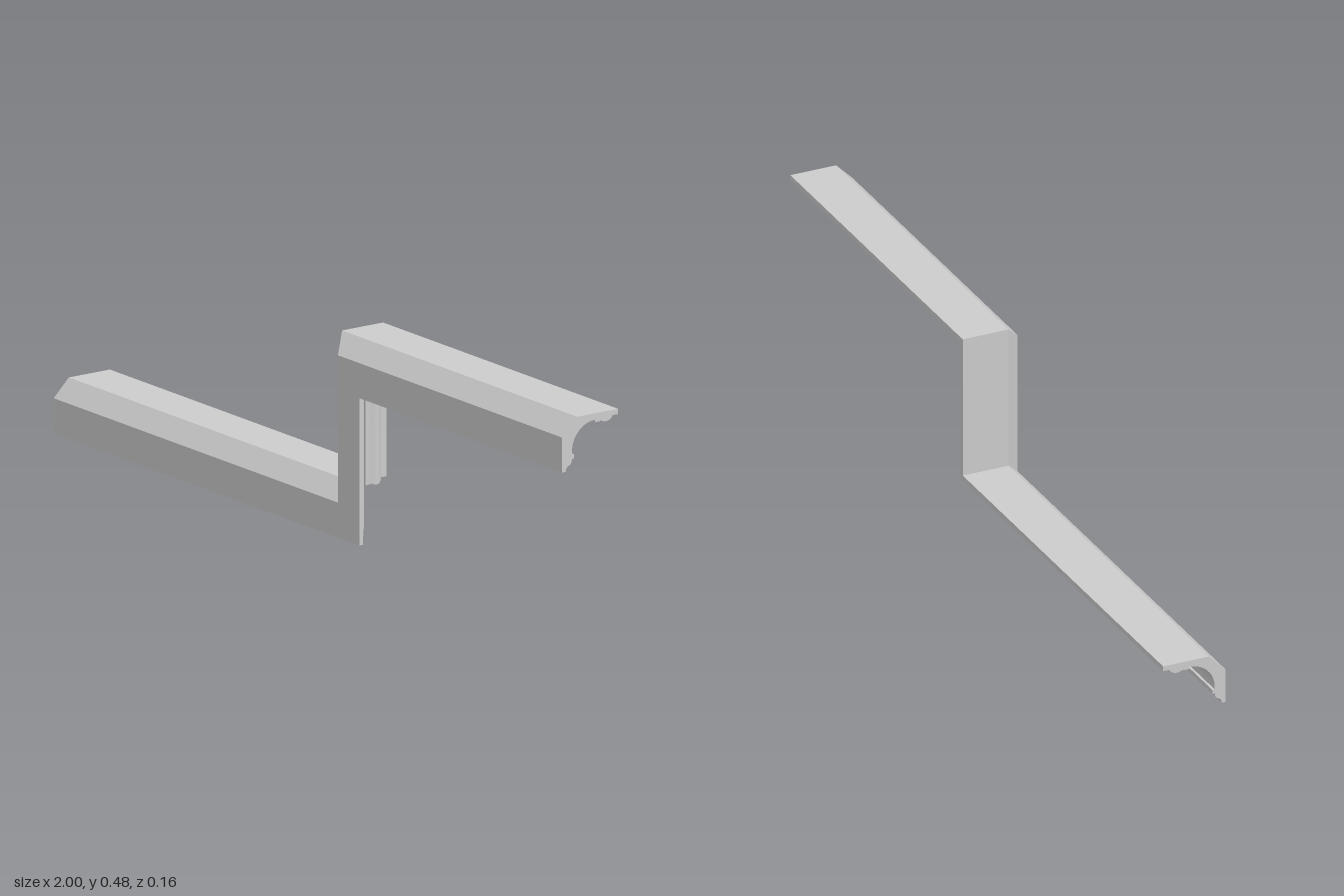
import * as THREE from 'three';
import { toCreasedNormals } from 'three/addons/utils/BufferGeometryUtils.js';

// Moulding cross-section: x = depth (z), y = distance below the outer edge
function mouldingProfile() {
  const s = new THREE.Shape();
  s.moveTo(0.08, -0.127);
  s.lineTo(0.08, -0.043);
  s.lineTo(0.037, 0); // chamfer
  s.lineTo(-0.08, 0);
  s.lineTo(-0.08, -0.0125);
  s.lineTo(-0.064, -0.0125);
  // rounded bead
  s.splineThru([[-0.06, -0.018], [-0.053, -0.0225], [-0.045, -0.024], [-0.036, -0.0225], [-0.028, -0.019]]
    .map(p => new THREE.Vector2(...p)));
  s.lineTo(-0.028, -0.0215);
  s.lineTo(-0.014, -0.0215);
  s.lineTo(-0.014, -0.0155);
  // large cove
  s.absarc(-0.014, -0.0815, 0.066, Math.PI / 2, 0, true);
  s.lineTo(0.052, -0.0885);
  s.lineTo(0.046, -0.0885);
  s.lineTo(0.046, -0.099);
  s.lineTo(0.052, -0.099);
  // small ogee
  s.splineThru([[0.0535, -0.107], [0.058, -0.112], [0.0645, -0.1155], [0.0685, -0.12], [0.07, -0.127]]
    .map(p => new THREE.Vector2(...p)));
  const pts = s.getPoints(6);
  return pts.filter((p, i) => p.distanceTo(pts[(i + 1) % pts.length]) > 1e-6);
}

// Outer corner line of the stepped path, and its mitred offset by t
const LOW = 0.127, HIGH = 0.48, STEP = 0.075;
const stations = [
  t => [-1, LOW - t],
  t => [STEP + t, LOW - t],
  t => [STEP + t, HIGH - t],
  t => [1, HIGH - t],
];

// One straight length between two stations, optionally closed at an end
function moulding(profile, from, to, capStart, capEnd) {
  const n = profile.length;
  const pos = [], index = [];
  for (const station of [from, to]) {
    for (const p of profile) pos.push(...station(-p.y), p.x);
  }
  for (let i = 0; i < n; i++) {
    const j = (i + 1) % n;
    index.push(i, n + i, n + j, i, n + j, j);
  }
  if (capStart || capEnd) {
    for (const [a, b, c] of THREE.ShapeUtils.triangulateShape(profile, [])) {
      const ccw = THREE.ShapeUtils.area([profile[a], profile[b], profile[c]]) > 0;
      const [q, r] = ccw ? [b, c] : [c, b];
      if (capStart) index.push(a, q, r);
      if (capEnd) index.push(n + a, n + r, n + q);
    }
  }
  const g = new THREE.BufferGeometry();
  g.setAttribute('position', new THREE.Float32BufferAttribute(pos, 3));
  g.setIndex(index);
  return toCreasedNormals(g, 0.6);
}

export function createModel() {
  const group = new THREE.Group();
  group.name = 'steppedCornice';
  const material = new THREE.MeshStandardMaterial({ color: 0xcccccc });
  const profile = mouldingProfile();
  ['lowerMoulding', 'verticalMoulding', 'upperMoulding'].forEach((name, i) => {
    const mesh = new THREE.Mesh(
      moulding(profile, stations[i], stations[i + 1], i === 0, i === 2), material);
    mesh.name = name;
    group.add(mesh);
  });
  return group;
}
